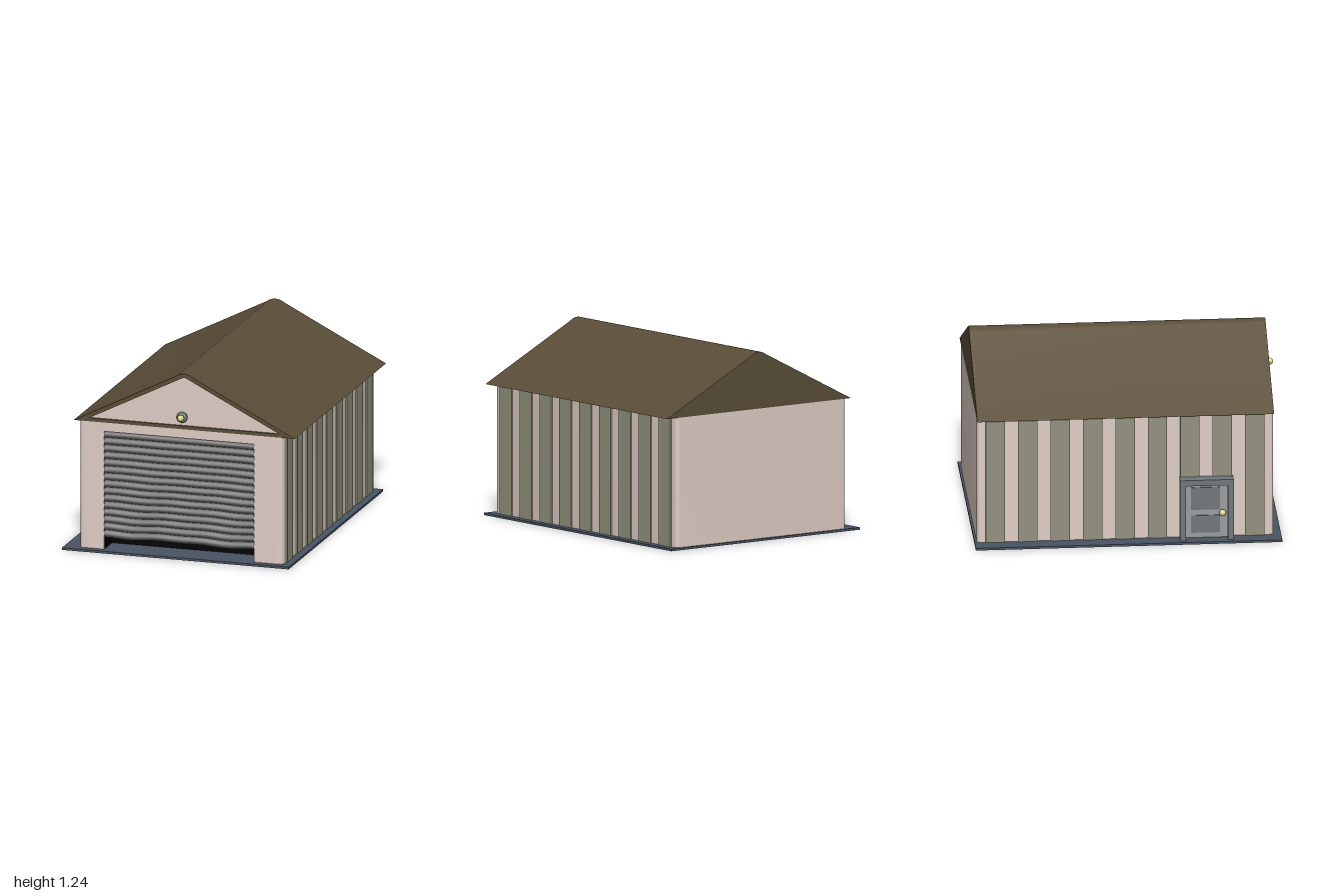
import * as THREE from 'three';
import { toCreasedNormals } from 'three/addons/utils/BufferGeometryUtils.js';

const mat = (color, side = THREE.FrontSide) => new THREE.MeshStandardMaterial({ color, side });
const M = {
  slab: mat(0x4a5463), wall: mat(0xe0cfc6), strip: mat(0x94937f), roof: mat(0x5a4e38),
  shutter: mat(0x707070, THREE.DoubleSide), dark: mat(0x000000), steel: mat(0x72777b),
  panel: mat(0x9a9ea0), lamp: mat(0xd6d68a),
};

export function createModel() {
  const model = new THREE.Group();
  model.name = 'garage';

  const add = (name, geometry, material, parent = model) => {
    const mesh = new THREE.Mesh(geometry, material);
    mesh.name = name;
    parent.add(mesh);
    return mesh;
  };
  const group = (name) => {
    const g = new THREE.Group();
    g.name = name;
    model.add(g);
    return g;
  };
  // Box given by its limits on each axis
  const box = (name, [x0, x1], [y0, y1], [z0, z1], material, parent) => {
    const mesh = add(name, new THREE.BoxGeometry(x1 - x0, y1 - y0, z1 - z0), material, parent);
    mesh.position.set((x0 + x1) / 2, (y0 + y1) / 2, (z0 + z1) / 2);
    return mesh;
  };
  const extrude = (shape, depth) => toCreasedNormals(
    new THREE.ExtrudeGeometry(shape, { depth, bevelEnabled: false, curveSegments: 8 }), 0.6);

  // Floor slab
  box('floorSlab', [-0.79, 0.76], [0, 0.015], [-1, 1], M.slab);

  // Walls: floor plan with rounded corners, and a pocket behind the shutter
  const L = -0.685, R = 0.705, F = -0.95, B = 0.985, r = 0.03;
  const doorL = -0.52, doorR = 0.507, pocket = -0.78;
  const plan = (withPocket) => {
    const s = new THREE.Shape();
    s.moveTo(L + r, F);
    if (withPocket) {
      s.lineTo(doorL, F); s.lineTo(doorL, pocket);
      s.lineTo(doorR, pocket); s.lineTo(doorR, F);
    }
    s.lineTo(R - r, F); s.quadraticCurveTo(R, F, R, F + r);
    s.lineTo(R, B - r); s.quadraticCurveTo(R, B, R - r, B);
    s.lineTo(L + r, B); s.quadraticCurveTo(L, B, L, B - r);
    s.lineTo(L, F + r); s.quadraticCurveTo(L, F, L + r, F);
    return s;
  };
  const addWalls = (name, withPocket, y0, y1) => {
    const mesh = add(name, extrude(plan(withPocket), y1 - y0).rotateX(-Math.PI / 2), M.wall);
    mesh.position.y = y0;
  };
  addWalls('walls', true, 0.015, 0.81);
  addWalls('lintel', false, 0.81, 0.87);

  // Dark lining of the doorway
  const lining = group('doorwayLining');
  box('liningBack', [doorL, doorR], [0.015, 0.81], [0.78, 0.785], M.dark, lining);
  box('liningRight', [doorL, doorL + 0.004], [0.015, 0.81], [0.78, 0.93], M.dark, lining);
  box('liningLeft', [doorR - 0.004, doorR], [0.015, 0.81], [0.78, 0.93], M.dark, lining);

  // Cladding strips along both sides
  const strips = group('claddingStrips');
  for (let i = 0; i < 9; i++) {
    const z = 0.827 - i * 0.2115, zs = [z - 0.063, z + 0.063];
    box('leftStrip', [0.69, 0.715], [0.015, 0.87], zs, M.strip, strips);
    box('rightStrip', [-0.695, -0.67], [0.015, 0.87], zs, M.strip, strips);
  }

  // Roller shutter: rounded slats, slightly buckled towards the bottom
  const slats = 15, top = 0.81, height = 0.72;
  const shutter = new THREE.PlaneGeometry(doorR - doorL, height, 48, slats * 8);
  const p = shutter.attributes.position;
  for (let i = 0; i < p.count; i++) {
    const x = p.getX(i), t = 0.5 - p.getY(i) / height;
    const bulge = Math.abs(Math.sin(Math.PI * slats * t));
    const buckle = t * (0.004 * Math.sin(x * 9 - 1 + t * 3) + 0.003 * Math.sin(x * 19 + t * 5));
    p.setXYZ(i, x + (doorL + doorR) / 2, top - height * t + buckle, 0.927 + 0.018 * bulge);
  }
  shutter.computeVertexNormals();
  add('rollerShutter', shutter, M.shutter);

  // Roof: solid gable prism with a rounded ridge
  const gable = () => {
    const s = new THREE.Shape();
    s.moveTo(-0.725, 0.87);
    s.lineTo(0.785, 0.87);
    s.lineTo(0.09, 1.222);
    s.quadraticCurveTo(0.03, 1.265, -0.03, 1.222);
    s.closePath();
    return s;
  };
  add('roof', extrude(gable(), 1.92), M.roof).position.z = -0.985;

  // Front trim around the gable panel
  const inner = [[-0.62, 0.893], [0.68, 0.893], [0.05, 1.211], [0.03, 1.219], [0.01, 1.211]]
    .map(([x, y]) => new THREE.Vector2(x, y));
  const trim = gable();
  trim.holes.push(new THREE.Path(inner));
  add('gableTrim', extrude(trim, 0.016), M.roof).position.z = 0.935;
  add('gablePanel', new THREE.ShapeGeometry(new THREE.Shape(inner)), M.wall).position.z = 0.938;

  // Lamp on the gable
  const lamp = group('gableLamp');
  lamp.position.set(0.015, 0.95, 0.938);
  const rim = [[0, 0], [0.036, 0], [0.038, 0.018], [0.03, 0.03], [0.022, 0.026], [0, 0.024]]
    .map(([x, y]) => new THREE.Vector2(x, y));
  add('lampHousing', new THREE.LatheGeometry(rim, 8).rotateX(Math.PI / 2), M.steel, lamp);
  add('lampBulb', new THREE.SphereGeometry(0.022, 16, 12), M.lamp, lamp).position.z = 0.042;

  // Side door with its deep frame
  const door = group('sideDoor');
  const z0 = 0.335, z1 = 0.685, post = 0.038, frameX = [-0.76, -0.68];
  box('doorPostBack', frameX, [0.015, 0.435], [z0, z0 + post], M.steel, door);
  box('doorPostFront', frameX, [0.015, 0.435], [z1 - post, z1], M.steel, door);
  box('doorHead', frameX, [0.395, 0.435], [z0 + post, z1 - post], M.steel, door);
  box('doorLeaf', [-0.705, -0.68], [0.015, 0.395], [z0 + post, z1 - post], M.panel, door);
  for (const ys of [[0.05, 0.17], [0.21, 0.365]])
    box('doorPanel', [-0.711, -0.70], ys, [z0 + 0.075, z1 - 0.085], M.steel, door);
  add('doorKnob', new THREE.SphereGeometry(0.022, 16, 12), M.lamp, door).position.set(-0.725, 0.19, 0.615);

  return model;
}
